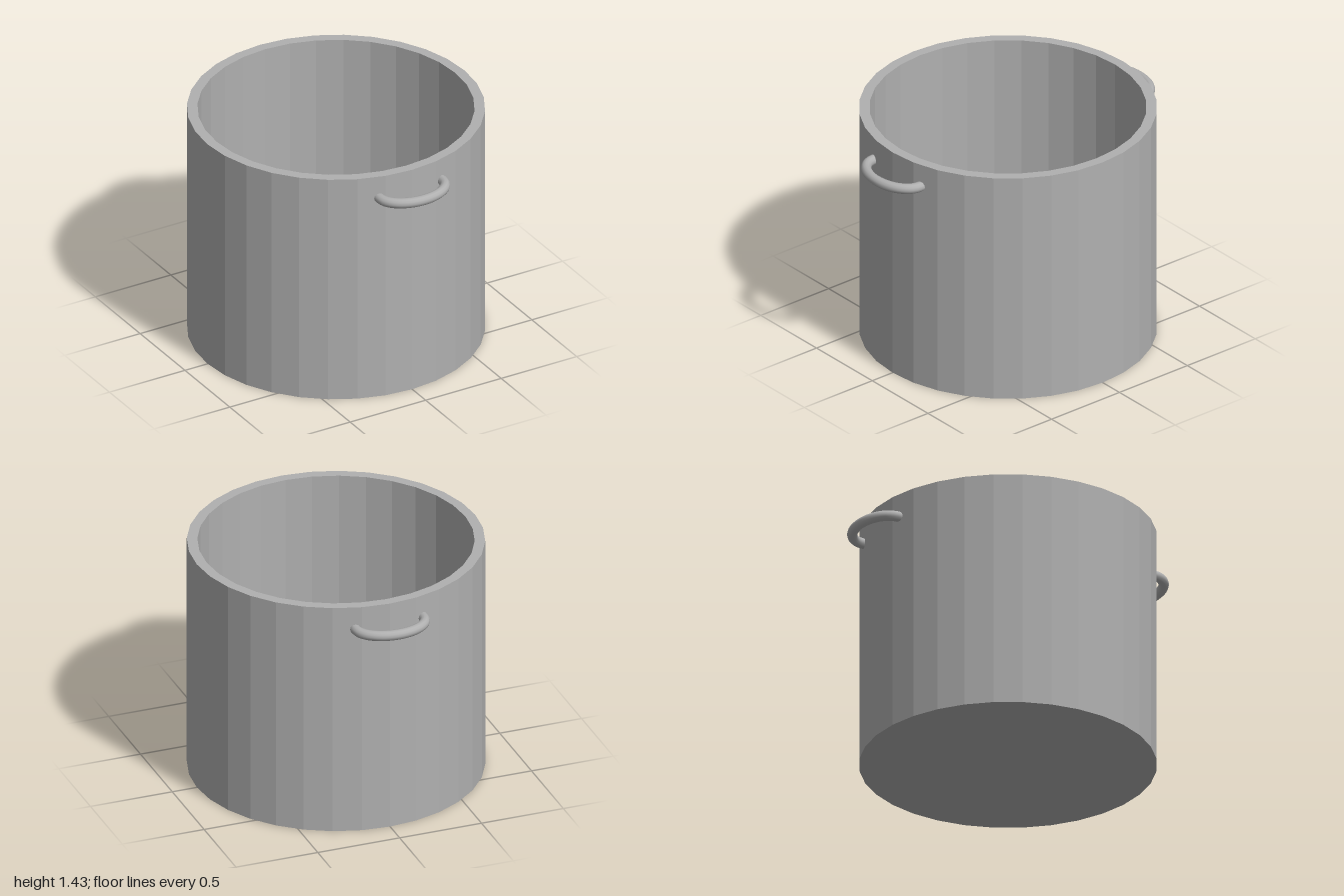
import * as THREE from 'three';

export function createModel() {
  const model = new THREE.Group();
  const steel = new THREE.MeshStandardMaterial({ color: 0xb0b0b0 });
  steel.name = 'brushed steel';

  // Faceted pot: base, outer wall, flat rim, inner wall and floor
  const profile = [[0, 0], [0.85, 0], [0.85, 1.43], [0.79, 1.43], [0.79, 0.06], [0, 0.06]]
    .map(([r, y]) => new THREE.Vector2(r, y));
  const potGeometry = new THREE.LatheGeometry(profile, 32).toNonIndexed();
  potGeometry.computeVertexNormals(); // flat facets
  const pot = new THREE.Mesh(potGeometry, steel);
  pot.name = 'pot';
  model.add(pot);

  // Bent-rod handle: half an ellipse whose ends sink into the wall
  const points = [new THREE.Vector3(-0.205, 0, 0.795)];
  for (let i = 0; i <= 12; i++) {
    const a = Math.PI * (1 - i / 12);
    points.push(new THREE.Vector3(0.207 * Math.cos(a), 0, 0.83 + 0.14 * Math.sin(a)));
  }
  points.push(new THREE.Vector3(0.205, 0, 0.795));
  const path = new THREE.CatmullRomCurve3(points);
  const handleGeometry = new THREE.TubeGeometry(path, 32, 0.03, 12);
  handleGeometry.translate(0.006, 1.29, 0);

  // The back handle is the front one turned half way round
  for (const [name, turn] of [['frontHandle', 0], ['backHandle', Math.PI]]) {
    const handle = new THREE.Mesh(handleGeometry, steel);
    handle.name = name;
    handle.rotation.y = turn;
    model.add(handle);
  }
  return model;
}
